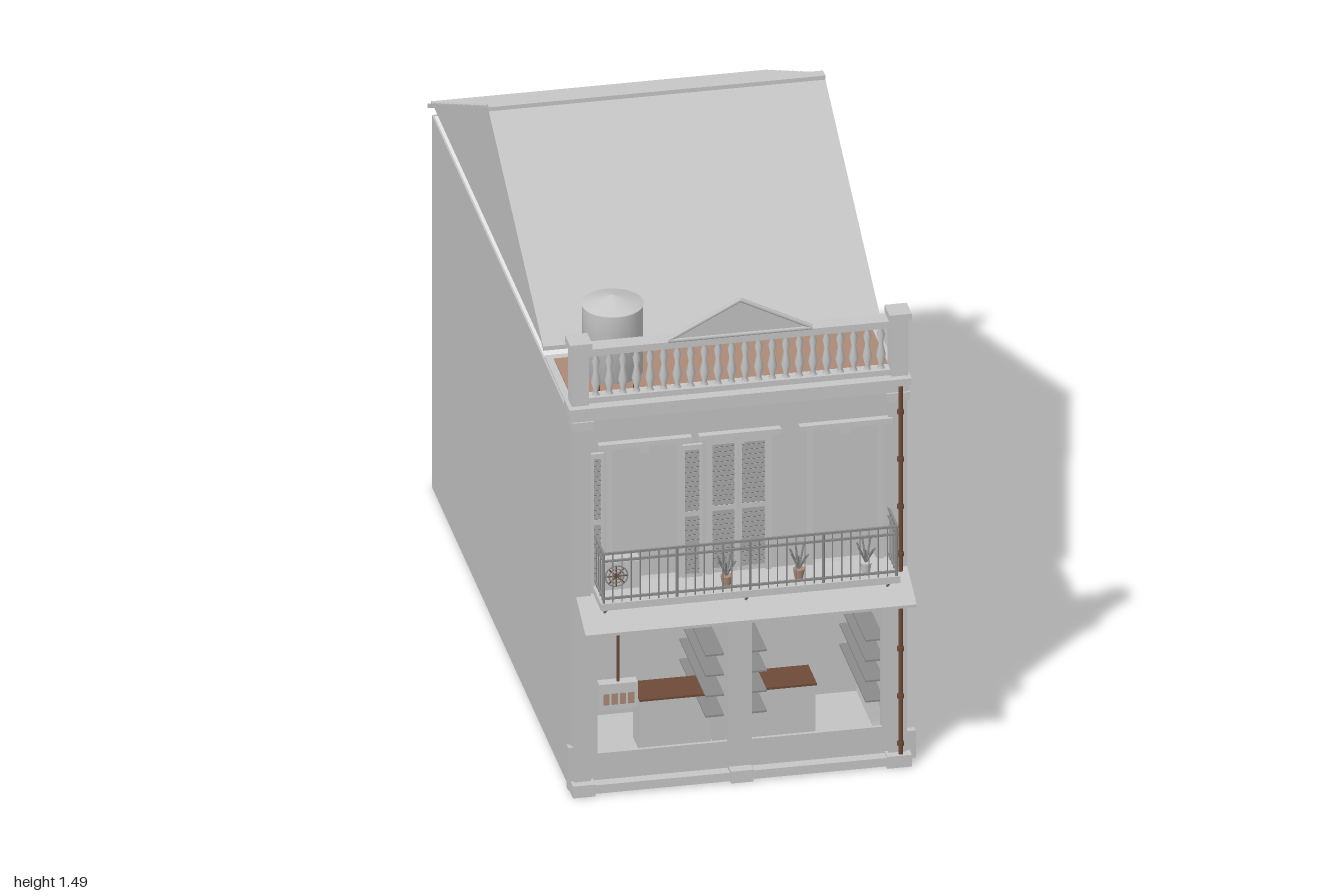
import * as THREE from 'three';

const mat = (name, color, side = THREE.FrontSide) => {
  const m = new THREE.MeshStandardMaterial({ color, side });
  m.name = name;
  return m;
};

export function createModel() {
  const house = new THREE.Group();
  house.name = 'townHouse';
  const plaster = mat('plaster', 0xc2c2c2, THREE.DoubleSide);
  const trim = mat('trim', 0xc6c6c6, THREE.DoubleSide);
  const ceilingWhite = mat('ceilingWhite', 0xfafafa, THREE.DoubleSide);
  const clay = mat('clay', 0xab8a78);
  const rust = mat('rust', 0x6e4a38);
  const iron = mat('iron', 0x8a8a8a);

  const add = (name, geo, m, x = 0, y = 0, z = 0) => {
    const mesh = new THREE.Mesh(geo, m);
    mesh.name = name;
    mesh.position.set(x, y, z);
    house.add(mesh);
    return mesh;
  };
  // Box given by its limits on each axis
  const box = (name, m, x0, x1, y0, y1, z0, z1) =>
    add(name, new THREE.BoxGeometry(x1 - x0, y1 - y0, z1 - z0), m, (x0 + x1) / 2, (y0 + y1) / 2, (z0 + z1) / 2);
  const rod = (name, m, a, b, r, sides = 6) => {
    const p = new THREE.Vector3(...a), d = new THREE.Vector3(...b).sub(p);
    const mesh = add(name, new THREE.CylinderGeometry(r, r, d.length(), sides), m);
    mesh.position.copy(p).addScaledVector(d, 0.5);
    mesh.quaternion.setFromUnitVectors(new THREE.Vector3(0, 1, 0), d.normalize());
    return mesh;
  };
  const polygon = pts => new THREE.Shape(pts.map(p => new THREE.Vector2(...p)));
  const extrude = (shape, depth) => new THREE.ExtrudeGeometry(shape, { depth, bevelEnabled: false });

  // Shell walls
  box('leftWall', plaster, 0.395, 0.4, 0, 1.1, -0.94, 0.86);
  box('rightWall', plaster, -0.5, -0.495, 0, 1.1, -0.94, 0.86);
  box('backWall', plaster, -0.5, 0.4, 0, 1.1, -0.94, -0.935);
  box('backWallExtension', plaster, 0.4, 0.51, 0.64, 1.1, -0.94, -0.935);
  box('atticFloor', ceilingWhite, -0.495, 0.395, 1.092, 1.098, -0.935, 0.5);

  // Roof: two thin slopes over floating gables
  const ridge = [-0.22, 1.485];
  const slope = (name, z, y) => {
    const s = polygon([[z, y], ridge, [ridge[0], ridge[1] - 0.012], [z, y - 0.012]]);
    const g = extrude(s, 0.905);
    g.rotateY(-Math.PI / 2);
    add(name, g, plaster, 0.405, 0, 0);
  };
  slope('frontRoofSlope', 0.5, 1.135);
  slope('backRoofSlope', -1, 1.103);
  for (const x of [0.398, -0.497]) {
    const g = new THREE.ShapeGeometry(polygon([[0.5, 1.128], ridge, [-0.94, 1.128]]));
    g.rotateY(-Math.PI / 2);
    add('gable', g, plaster, x, 0, 0);
  }
  box('ridgeCap', trim, -0.5, 0.405, 1.478, 1.49, -0.235, -0.205);
  for (let i = 1; i < 14; i++) {
    const t = i / 14;
    const course = box('tileCourse', trim, -0.5, 0.405, -0.003, 0.003, -0.006, 0.006);
    course.position.y = 1.487 - 0.382 * t;
    course.position.z = -0.22 - 0.78 * t;
  }

  // Terrace with kerb
  box('terraceSlab', trim, -0.495, 0.395, 1.08, 1.104, 0.49, 0.86);
  box('terraceTiles', clay, -0.475, 0.38, 1.104, 1.108, 0.52, 0.825);

  // Water tank on four feet
  const tank = new THREE.LatheGeometry([[0, 0], [0.08, 0], [0.08, 0.195], [0.083, 0.2], [0, 0.225]].map(p => new THREE.Vector2(...p)), 24);
  add('waterTank', tank, trim, -0.35, 1.137, 0.675);
  for (const sx of [-1, 1]) for (const sz of [-1, 1])
    box('tankFoot', rust, -0.355 + sx * 0.05, -0.345 + sx * 0.05, 1.105, 1.14, 0.67 + sz * 0.05, 0.68 + sz * 0.05);

  // Upper facade with three door openings
  const wall = polygon([[-0.5, 0.57], [0.4, 0.57], [0.4, 1.1], [-0.5, 1.1]]);
  const doors = [[-0.4, -0.21], [-0.13, 0.03], [0.14, 0.33]];
  for (const [a, b] of doors) wall.holes.push(polygon([[a, 0.6], [a, 1.01], [b, 1.01], [b, 0.6]]));
  add('upperFacade', extrude(wall, 0.02), plaster, 0, 0, 0.845);
  box('upperRoomBack', plaster, -0.495, 0.395, 0.58, 1.08, 0.78, 0.785);
  const louvre = (x0, x1, z) => {
    for (const x of [x0, x1 - 0.008]) box('shutterStile', trim, x, x + 0.008, 0.605, 1.0, z, z + 0.01);
    for (const y of [0.605, 0.79, 0.985]) box('shutterRail', trim, x0, x1, y, y + 0.015, z, z + 0.01);
    for (let i = 0; i < 26; i++) {
      const s = box('shutterSlat', iron, x0 + 0.008, x1 - 0.008, -0.001, 0.001, -0.006, 0.006);
      s.position.y = 0.623 + i * 0.0143;
      s.position.z = z + 0.004;
      s.rotation.x = 0.7;
    }
  };
  louvre(-0.13, -0.052, 0.85);
  louvre(-0.048, 0.03, 0.85);
  louvre(-0.45, -0.415, 0.868);
  louvre(-0.205, -0.15, 0.868);
  for (const [a, b] of doors) {
    box('doorLintel', trim, a - 0.03, b + 0.03, 1.012, 1.027, 0.86, 0.885);
    box('lintelKeystone', trim, (a + b) / 2 - 0.012, (a + b) / 2 + 0.012, 0.99, 1.02, 0.86, 0.88);
    for (const x of [a, b]) box('doorFrame', trim, x - 0.008, x + 0.008, 0.6, 1.012, 0.855, 0.873);
  }

  // Corner pilasters
  for (const [a, b] of [[-0.495, -0.45], [0.35, 0.4]]) {
    box('cornerPilaster', plaster, a, b, 0, 1.1, 0.84, 0.877);
    box('pilasterBase', trim, a - 0.008, b + 0.008, 0, 0.035, 0.84, 0.9);
    box('pilasterCapital', trim, a - 0.006, b + 0.006, 1.075, 1.1, 0.84, 0.885);
  }
  box('rightPlinth', plaster, -0.51, -0.45, 0.01, 0.135, 0.85, 0.87);
  box('leftPlinth', plaster, 0.35, 0.425, 0.01, 0.09, 0.85, 0.87);

  // Cornice and baluster parapet
  box('corniceLower', trim, -0.505, 0.405, 1.1, 1.122, 0.82, 0.88);
  box('corniceUpper', trim, -0.51, 0.41, 1.122, 1.142, 0.82, 0.89);
  box('parapetBase', trim, -0.5, 0.4, 1.142, 1.158, 0.825, 0.86);
  box('parapetRail', trim, -0.5, 0.4, 1.285, 1.305, 0.82, 0.868);
  for (const x of [-0.477, 0.382]) {
    box('parapetPost', trim, x - 0.023, x + 0.023, 1.14, 1.31, 0.82, 0.87);
    box('parapetPostCap', trim, x - 0.03, x + 0.03, 1.308, 1.328, 0.815, 0.88);
  }
  const profile = [[0.011, 0], [0.006, 0.012], [0.013, 0.04], [0.006, 0.075], [0.011, 0.1], [0.006, 0.115], [0.011, 0.128]];
  const baluster = new THREE.LatheGeometry(profile.map(p => new THREE.Vector2(...p)), 10);
  for (let i = 0; i < 22; i++) add('baluster', baluster, trim, -0.43 + i * 0.0365, 1.157, 0.843);
  const pediment = polygon([[-0.235, 1.31], [0.14, 1.31], [-0.047, 1.405]]);
  add('pediment', extrude(pediment, 0.008), plaster, 0, 0, 0.862);
  for (const x of [-0.24, 0.146]) rod('pedimentMoulding', trim, [x, 1.312, 0.868], [-0.047, 1.411, 0.868], 0.006);
  rod('pedimentSill', trim, [-0.24, 1.31, 0.868], [0.146, 1.31, 0.868], 0.006);

  // Ground floor front
  box('shopBeam', plaster, -0.49, 0.4, 0.52, 0.58, 0.84, 0.87);
  box('centrePier', plaster, -0.08, -0.015, 0, 0.53, 0.83, 0.87);
  box('pierBase', trim, -0.078, -0.018, 0, 0.035, 0.84, 0.9);
  for (const [a, b] of [[-0.45, -0.08], [-0.015, 0.35]]) {
    box('frontSill', trim, a, b, 0.005, 0.03, 0.85, 0.895);
    box('lowFrontWall', plaster, a, b, 0.03, 0.108, 0.855, 0.865);
    box('shopFloor', plaster, a, b, 0.004, 0.01, 0.46, 0.85);
    box('shopBackWall', plaster, a, b, 0, 0.53, 0.455, 0.46);
    box('shopCeiling', plaster, a, b, 0.525, 0.53, 0.46, 0.85);
  }
  box('shopPartition', plaster, -0.08, -0.015, 0, 0.53, 0.455, 0.83);
  box('narrowPier', plaster, -0.45, -0.43, 0.1, 0.53, 0.84, 0.866);
  box('narrowPier', plaster, 0.335, 0.35, 0.1, 0.53, 0.84, 0.866);
  for (const [a, b] of [[-0.28, -0.09], [-0.01, 0.19]]) {
    box('counter', plaster, a, b, 0.01, 0.165, 0.6, 0.7);
    box('counterTop', rust, a - 0.003, b + 0.003, 0.165, 0.171, 0.595, 0.705);
  }
  for (const y of [0.16, 0.22, 0.28, 0.34])
    for (const [a, b] of [[-0.13, -0.08], [-0.015, 0.035], [-0.495, -0.45], [0.3, 0.35]]) box('shelf', iron, a, b, y, y + 0.005, 0.48, 0.82);
  for (const x of [-0.19, 0.1]) {
    rod('lampCord', iron, [x, 0.45, 0.7], [x, 0.525, 0.7], 0.002);
    rod('lamp', trim, [x, 0.42, 0.7], [x, 0.45, 0.7], 0.006, 8);
  }

  // Hanging box with four small panels
  rod('boxHanger', rust, [-0.38, 0.33, 0.89], [-0.38, 0.53, 0.89], 0.004);
  box('hangingBox', trim, -0.433, -0.33, 0.255, 0.33, 0.875, 0.905);
  for (let i = 0; i < 4; i++) box('boxPanel', clay, -0.422 + i * 0.022, -0.406 + i * 0.022, 0.27, 0.302, 0.905, 0.908);

  // Sloping awning and balcony
  const awning = extrude(polygon([[0.87, 0.585], [1, 0.53], [1, 0.522], [0.87, 0.577]]), 0.89);
  awning.rotateY(-Math.PI / 2);
  add('awning', awning, plaster, 0.4, 0, 0);
  box('balconyFloor', trim, -0.445, 0.36, 0.59, 0.61, 0.865, 0.985);
  for (const x of [-0.425, -0.045, 0.335]) rod('balconyStrut', iron, [x, 0.51, 0.875], [x, 0.59, 0.97], 0.004);
  for (const y of [0.62, 0.73, 0.752]) {
    box('balconyRail', iron, -0.44, 0.355, y, y + 0.006, 0.976, 0.982);
    for (const x of [-0.44, 0.349]) box('balconySideRail', iron, x, x + 0.006, y, y + 0.006, 0.87, 0.98);
  }
  for (let i = 0; i <= 32; i++) rod('balconyBar', iron, [-0.437 + i * 0.0246, 0.61, 0.979], [-0.437 + i * 0.0246, 0.752, 0.979], i % 8 ? 0.0018 : 0.004, 5);
  for (const x of [-0.437, 0.352]) for (let i = 0; i < 4; i++) rod('balconyBar', iron, [x, 0.61, 0.885 + i * 0.025], [x, 0.752, 0.885 + i * 0.025], 0.0018, 5);
  for (const x of [-0.1, 0.095, 0.275]) {
    add('flowerPot', new THREE.CylinderGeometry(0.016, 0.011, 0.03, 12), x > 0.2 ? trim : clay, x, 0.626, 0.945);
    for (let i = 0; i < 7; i++) {
      const a = i * 0.9;
      rod('plantStem', iron, [x, 0.64, 0.945], [x + 0.025 * Math.cos(a), 0.68 + 0.004 * i, 0.945 + 0.02 * Math.sin(a)], 0.0025, 4);
    }
  }

  // Cooling units: one on the balcony, one on the back wall
  const coolingUnit = (x, y, z, dir) => {
    box('coolingUnit', trim, x - 0.053, x + 0.053, y - 0.04, y + 0.04, z - 0.022, z + 0.022);
    for (const r of [0.03, 0.02, 0.01]) add('fanRing', new THREE.TorusGeometry(r, 0.002, 5, 20), iron, x - 0.012, y, z + dir * 0.023);
    for (let i = 0; i < 4; i++) {
      const c = 0.03 * Math.cos(i * Math.PI / 4), s = 0.03 * Math.sin(i * Math.PI / 4);
      rod('fanSpoke', rust, [x - 0.012 - c, y - s, z + dir * 0.023], [x - 0.012 + c, y + s, z + dir * 0.023], 0.002, 4);
    }
  };
  coolingUnit(-0.38, 0.66, 0.905, 1);
  coolingUnit(0.315, 0.93, -0.975, -1);
  for (const x of [0.28, 0.35]) {
    rod('unitBracket', iron, [x, 0.887, -0.94], [x, 0.887, -0.997], 0.004);
    rod('unitBracketStrut', iron, [x, 0.84, -0.94], [x, 0.887, -0.99], 0.003);
    rod('unitPipe', rust, [x, 0.79, -0.98], [x - 0.015, 0.89, -0.96], 0.003);
  }

  // Drainpipe with collars
  rod('drainPipe', rust, [0.38, 0.01, 0.888], [0.38, 1.12, 0.888], 0.006, 10);
  for (let i = 0; i < 8; i++) rod('pipeCollar', rust, [0.38, 0.06 + i * 0.14, 0.888], [0.38, 0.072 + i * 0.14, 0.888], 0.009, 10);

  // Barred back windows
  for (const y of [0.135, 0.65]) {
    box('backWindowPane', clay, -0.145, 0.045, y, y + 0.195, -0.943, -0.939);
    for (const x of [-0.15, -0.053, 0.042]) box('backWindowStile', trim, x, x + 0.008, y, y + 0.195, -0.948, -0.939);
    for (const h of [0, 0.19]) box('backWindowRail', trim, -0.15, 0.05, y + h, y + h + 0.008, -0.948, -0.939);
    for (let i = 0; i < 8; i++) rod('windowBar', iron, [-0.13 + i * 0.023, y, -0.948], [-0.13 + i * 0.023, y + 0.195, -0.948], 0.002, 5);
  }
  return house;
}
